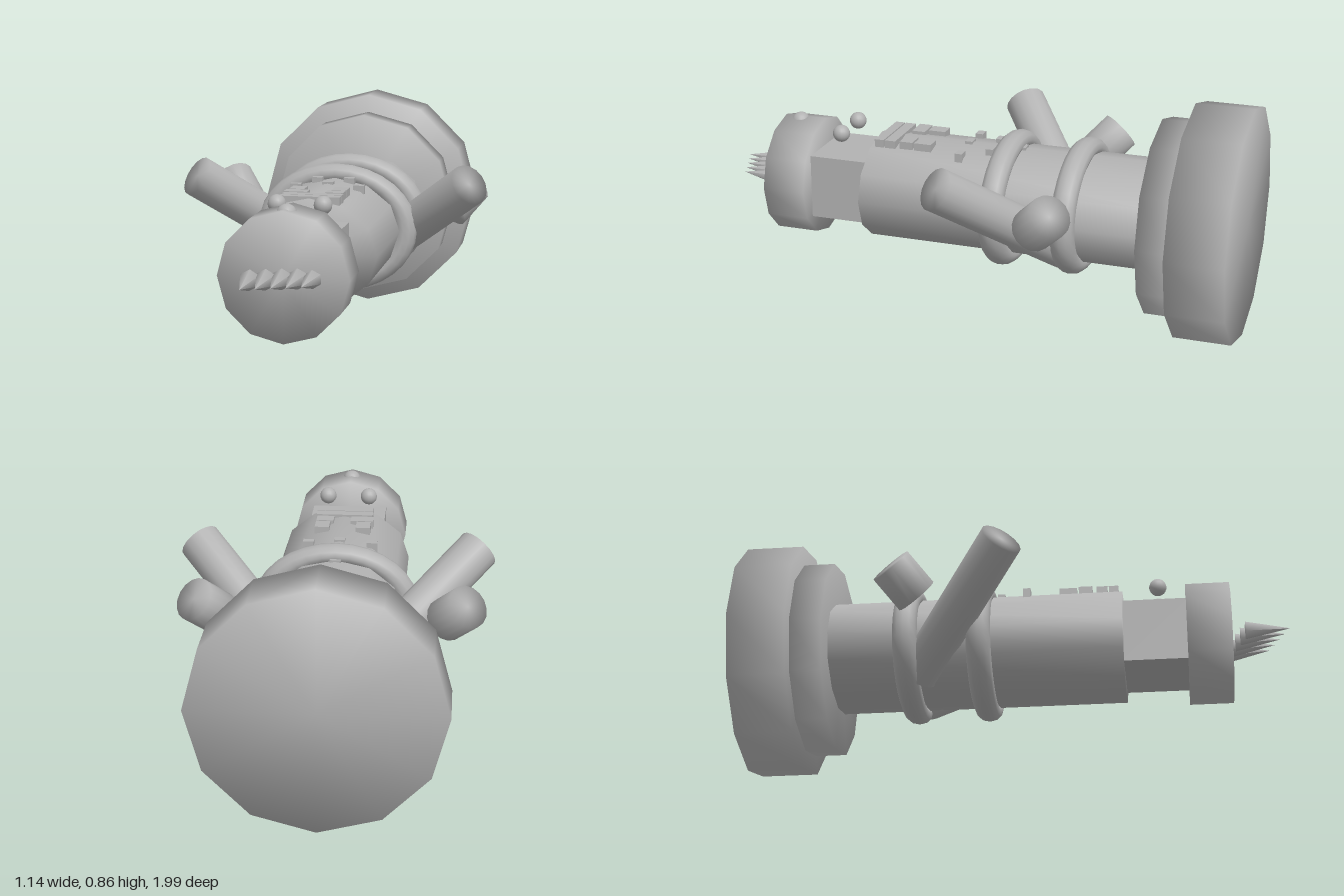
import * as THREE from 'three';
import { mergeVertices } from 'three/addons/utils/BufferGeometryUtils.js';

const grey = new THREE.MeshStandardMaterial({ color: 0xb2b2b2 });
grey.name = 'plain grey';
const AXIS_Y = 0.43;

// Share vertices so that shading runs softly over the rims
function soften(geometry) {
  geometry.deleteAttribute('uv');
  geometry.deleteAttribute('normal');
  const merged = mergeVertices(geometry, 1e-4);
  merged.computeVertexNormals();
  return merged;
}

export function createModel() {
  const model = new THREE.Group();
  model.name = 'lyingToy';

  function add(name, geometry, x, y, z) {
    const mesh = new THREE.Mesh(geometry, grey);
    mesh.name = name;
    mesh.position.set(x, y, z);
    model.add(mesh);
    return mesh;
  }

  // Drum lying along z, from z0 to z1
  function drum(name, radius, z0, z1, squash = 1) {
    const g = new THREE.CylinderGeometry(radius, radius, z1 - z0, 12);
    g.rotateX(Math.PI / 2);
    g.scale(1, squash, 1);
    return add(name, soften(g), 0, AXIS_Y, (z0 + z1) / 2);
  }

  // Round bar or cone between two points
  function bar(name, from, to, r0, r1, sides) {
    const a = new THREE.Vector3(...from), b = new THREE.Vector3(...to);
    const d = b.clone().sub(a);
    const g = soften(new THREE.CylinderGeometry(r1, r0, d.length(), sides));
    const mid = a.add(b).multiplyScalar(0.5);
    const mesh = add(name, g, mid.x, mid.y, mid.z);
    mesh.quaternion.setFromUnitVectors(new THREE.Vector3(0, 1, 0), d.normalize());
  }

  // Stepped base, body and head
  drum('base', 0.43, -1, -0.79);
  drum('baseStep', 0.36, -0.79, -0.675);
  drum('body', 0.245, -0.68, 0.39, 0.8);
  drum('head', 0.223, 0.62, 0.78);
  add('neck', new THREE.BoxGeometry(0.29, 0.24, 0.25), 0, AXIS_Y, 0.505);

  // Rings around the body
  for (const z of [-0.125, -0.39]) {
    const ring = new THREE.TorusGeometry(0.26, 0.045, 12, 32);
    ring.scale(1, 0.8, 1);
    add('bodyRing', ring, 0, AXIS_Y, z);
  }

  // Arms, loose stubs and eyes on both sides
  for (const s of [-1, 1]) {
    bar('arm', [s * 0.12, 0.305, -0.36], [s * 0.512, 0.628, -0.012], 0.078, 0.078, 16);
    bar('stub', [s * 0.4, 0.478, -0.325], [s * 0.476, 0.564, -0.407], 0.078, 0.078, 16);
    add('eye', new THREE.SphereGeometry(0.032, 16, 12), s * 0.08, 0.63, 0.52);
  }
  add('noseKnob', new THREE.SphereGeometry(0.035, 16, 12), 0, 0.632, 0.72);

  // Row of spikes in front of the head
  for (let i = 0; i < 5; i++) {
    const k = i - 2;
    bar('spike', [k * 0.05, 0.43, 0.795 - k * 0.0175], [k * 0.046, 0.434, 0.955 - k * 0.0175], 0.036, 0.0005, 6);
  }

  // Small studs on top of the body
  const studs = [[0, -0.165], [-0.06, -0.06], [0.06, -0.06], [-0.12, 0.04], [0, 0.04], [0.115, 0.04]];
  for (const [x, z] of studs) {
    add('stud', new THREE.BoxGeometry(0.04, 0.04, 0.028), x, Math.abs(x) > 0.1 ? 0.602 : 0.612, z);
  }

  // Raised bars on top of the body: x, z, width, depth
  const bars = [
    [-0.078, 0.19, 0.054, 0.065], [0.076, 0.19, 0.054, 0.065],
    [-0.07, 0.255, 0.085, 0.05], [0.07, 0.255, 0.065, 0.05],
    [0, 0.315, 0.215, 0.04], [0, 0.358, 0.215, 0.035],
  ];
  for (const [x, z, w, d] of bars) {
    add('raisedBar', new THREE.BoxGeometry(w, 0.04, d), x, 0.612, z);
  }
  return model;
}
